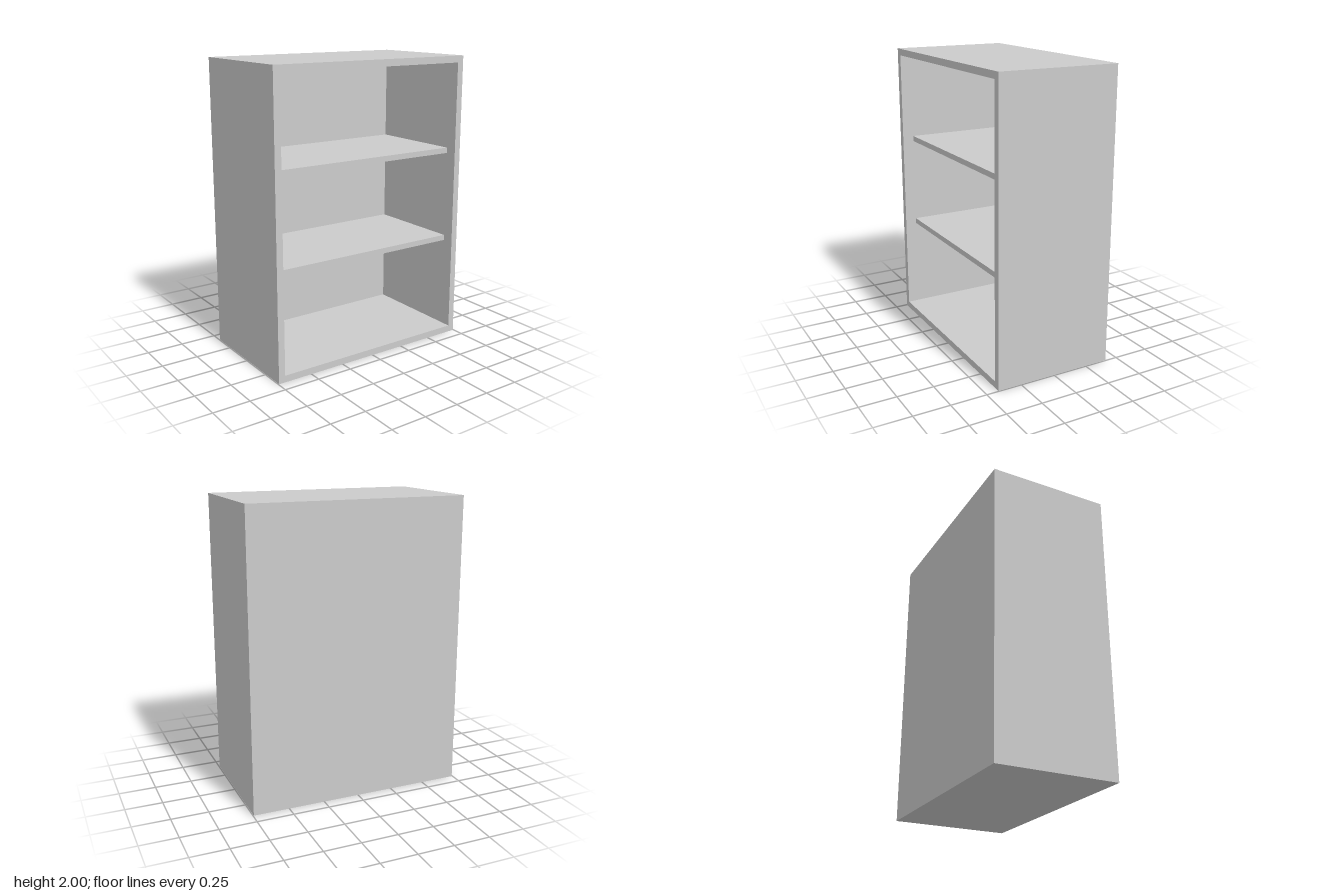
import * as THREE from 'three';

const W = 1.49, H = 2, D = 0.83;      // outer size
const T = 0.046;                      // carcass wall thickness
const BACK = 0.055;                   // back panel thickness
const SHELF = 0.038, INSET = 0.08;    // shelf thickness, setback from the front edge

export function createModel() {
  const group = new THREE.Group();
  const material = new THREE.MeshStandardMaterial({ color: 0xcccccc });
  const backInner = -D / 2 + BACK;

  function add(name, geometry, x, y, z) {
    const mesh = new THREE.Mesh(geometry, material);
    mesh.name = name;
    mesh.position.set(x, y, z);
    group.add(mesh);
  }

  // Carcass: sides, top and bottom as one rectangular tube
  const outline = new THREE.Shape([
    new THREE.Vector2(-W / 2, 0), new THREE.Vector2(W / 2, 0),
    new THREE.Vector2(W / 2, H), new THREE.Vector2(-W / 2, H),
  ]);
  const xi = W / 2 - T;
  outline.holes.push(new THREE.Path([
    new THREE.Vector2(-xi, T), new THREE.Vector2(-xi, H - T),
    new THREE.Vector2(xi, H - T), new THREE.Vector2(xi, T),
  ]));
  add('carcass', new THREE.ExtrudeGeometry(outline, { depth: D - BACK, bevelEnabled: false }), 0, 0, backInner);

  // Back panel closing the carcass
  add('backPanel', new THREE.BoxGeometry(W, H, BACK), 0, H / 2, -D / 2 + BACK / 2);

  // Two shelves, set back from the front
  const shelfDepth = D - BACK - INSET;
  [['lowerShelf', 0.702], ['upperShelf', 1.341]].forEach(([name, y]) => {
    add(name, new THREE.BoxGeometry(2 * xi, SHELF, shelfDepth), 0, y, backInner + shelfDepth / 2);
  });

  return group;
}
